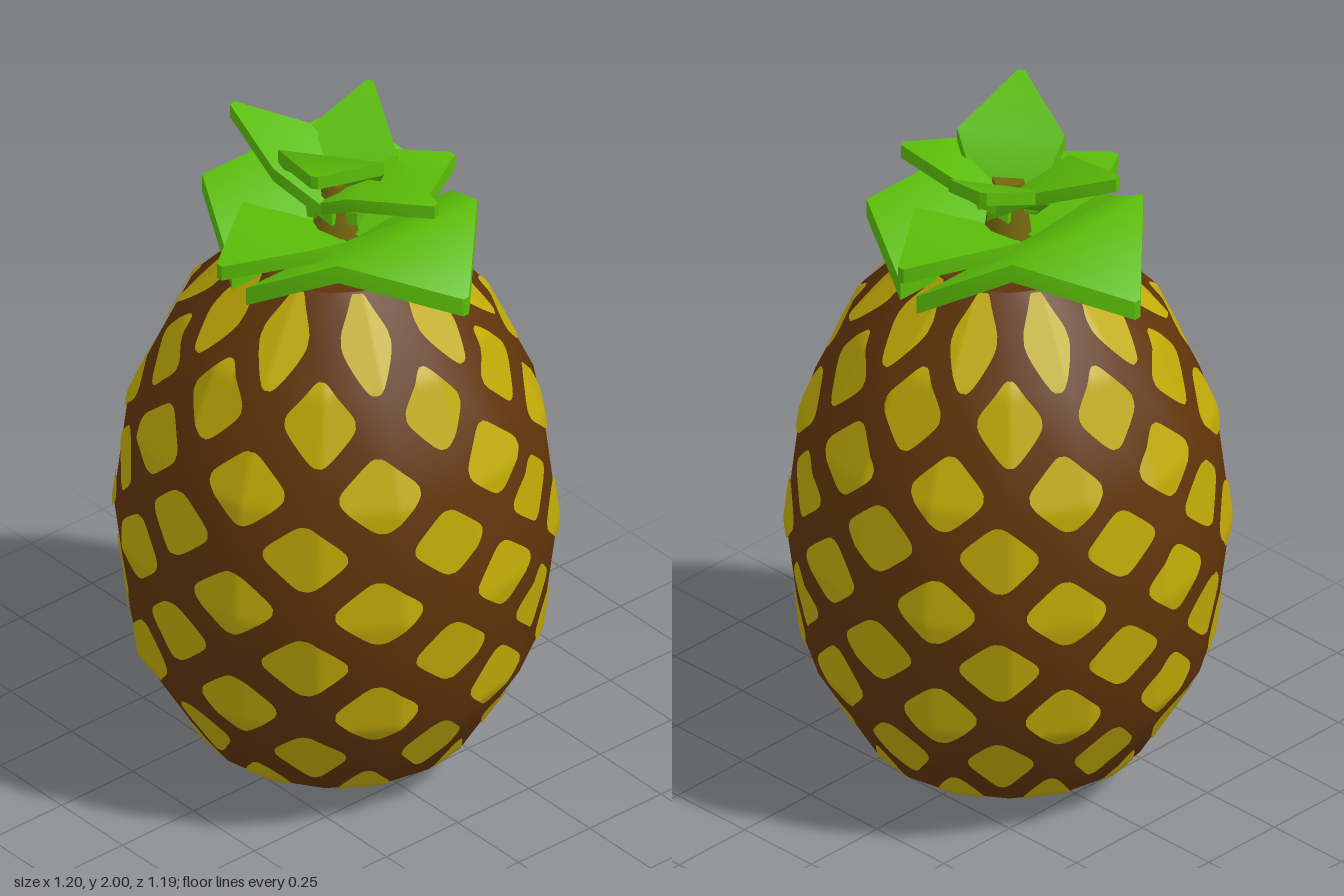
import * as THREE from 'three';
import { mergeGeometries } from 'three/addons/utils/BufferGeometryUtils.js';

const SIDES = 16, RAD = Math.PI / 180;
const PROFILE = [[0.17, 0], [0.38, 0.11], [0.55, 0.4], [0.595, 0.76], [0.555, 1.1], [0.42, 1.4], [0.225, 1.6]];

const material = (name, color) => {
  const m = new THREE.MeshStandardMaterial({ color });
  m.name = name;
  return m;
};

function mesh(name, geometry, mat) {
  const m = new THREE.Mesh(geometry, mat);
  m.name = name;
  return m;
}

// Radius of the sixteen-sided body at a height and an angle from the front
function bodyRadius(theta, y) {
  let i = 0;
  while (i < PROFILE.length - 2 && y > PROFILE[i + 1][1]) i++;
  const [r0, y0] = PROFILE[i], [r1, y1] = PROFILE[i + 1];
  const r = r0 + (r1 - r0) * (y - y0) / (y1 - y0);
  const step = 2 * Math.PI / SIDES;
  const local = ((theta % step) + step) % step - step / 2;
  return r * Math.cos(step / 2) / Math.cos(local);
}

// Diamond with rounded corners lying on the body surface
function scale(theta, y, halfAngle, halfHeight) {
  const g = new THREE.PlaneGeometry(2, 2, 12, 12);
  const p = g.attributes.position;
  for (let i = 0; i < p.count; i++) {
    const a = p.getX(i), b = p.getY(i), k = 1 - 0.15 * (a * b) ** 4;
    const t = theta + (a - b) / 2 * k * halfAngle;
    const h = THREE.MathUtils.clamp(y + (a + b) / 2 * k * halfHeight, 0.004, 1.598);
    const r = bodyRadius(t, h) + 0.006;
    p.setXYZ(i, r * Math.sin(t), h, r * Math.cos(t));
  }
  g.computeVertexNormals();
  return g;
}

// Thick bent leaf along +x, smooth along its length with sharp rims;
// stations are [distance, height, half width, sideways shift]
function leafGeometry(stations, thickness) {
  const rings = stations.map(([d, y, w, s = 0]) => [
    [d, y, s - w], [d, y, s + w], [d, y - thickness, s + w], [d, y - thickness, s - w],
  ]);
  const strip = (rows) => {
    const index = [];
    for (let i = 0; i < rows.length - 1; i++) {
      const k = 2 * i;
      index.push(k, k + 1, k + 3, k, k + 3, k + 2);
    }
    const g = new THREE.BufferGeometry();
    g.setAttribute('position', new THREE.Float32BufferAttribute(rows.flat(2), 3));
    g.setIndex(index);
    g.computeVertexNormals();
    return g;
  };
  const s = rings[0], e = rings[rings.length - 1];
  const faces = [0, 1, 2, 3].map(j => strip(rings.map(r => [r[j], r[(j + 1) % 4]])));
  faces.push(strip([[s[3], s[2]], [s[0], s[1]]]), strip([[e[0], e[1]], [e[3], e[2]]]));
  return mergeGeometries(faces);
}

export function createModel() {
  const brown = material('brown skin', 0x613409);
  const yellow = material('yellow scales', 0xc0aa07);
  const green = material('green leaf', 0x5abc08);
  const olive = material('olive stem', 0x75680e);
  const model = new THREE.Group();
  model.name = 'pineapple';

  // Body with flat ends
  const body = new THREE.Group();
  body.name = 'body';
  body.add(mesh('skin', new THREE.LatheGeometry(PROFILE.map(p => new THREE.Vector2(...p)), SIDES), brown));
  const top = mesh('topCap', new THREE.CircleGeometry(0.225, SIDES), brown);
  top.rotation.x = -Math.PI / 2;
  top.position.y = 1.6;
  const bottom = mesh('bottomCap', new THREE.CircleGeometry(0.17, SIDES), brown);
  bottom.rotation.x = Math.PI / 2;
  body.add(top, bottom);
  model.add(body);

  // Staggered rows of scales: [height, half height, half angle, turn]
  const rows = [
    [0.09, 0.12, 12.5, 0], [0.27, 0.12, 12.5, 0], [0.455, 0.115, 12.5, 0], [0.625, 0.112, 12.5, 0],
    [0.8, 0.112, 12.5, 0], [0.97, 0.112, 12.5, 0], [1.14, 0.115, 12.8, 1.5], [1.325, 0.122, 13, 3], [1.505, 0.13, 13, 3],
  ];
  // Columns are a little wider apart between the front and the left side
  const evenColumns = [21, 61, 100, 135, 170, 205, 240, 275, 310, 344.5];
  const oddColumns = [1.5, 41, 82, 117, 152, 187, 222, 257, 292, 327];
  const scales = rows.flatMap(([y, h, w, turn], r) => (r % 2 ? oddColumns : evenColumns).map(
    angle => scale((angle + turn) * RAD, y, (angle > 10 && angle < 70 ? w * 1.1 : w) * RAD, h)));
  model.add(mesh('scales', mergeGeometries(scales), yellow));

  // Crown: stem, then leaves as [name, turn, stations, thickness]
  const crown = new THREE.Group();
  crown.name = 'crown';
  const stem = mesh('stem', new THREE.CylinderGeometry(0.045, 0.075, 0.24, 6), olive);
  stem.position.y = 1.7;
  crown.add(stem);
  const wide = [[0.04, 1.64, 0.36, -0.01], [0.26, 1.765, 0.245, -0.03], [0.43, 1.615, 0.01, -0.09]];
  const wideLeft = [[0.04, 1.64, 0.36, 0.03], [0.28, 1.79, 0.25, 0.02], [0.455, 1.62, 0.01, -0.03]];
  const small = [[0.02, 1.66, 0.07], [0.2, 1.755, 0.15], [0.41, 1.72, 0.01]];
  const leaves = [
    ['lowerLeftLeaf', 0, wide, 0.055],
    ['lowerRightLeaf', 180, wideLeft, 0.055],
    ['lowerFrontLeaf', -90, small, 0.045],
    ['lowerBackLeaf', 90, small, 0.045],
    ['upperRightLeaf', 194, [[-0.03, 1.75, 0.06], [0.12, 1.87, 0.12], [0.34, 1.93, 0.01]], 0.04],
    ['upperLeftLeaf', 18, [[-0.03, 1.76, 0.06], [0.11, 1.86, 0.12], [0.315, 1.845, 0.01]], 0.04],
    ['upperBackLeaf', 121, [[-0.03, 1.74, 0.07], [0.1, 1.86, 0.14], [0.29, 1.95, 0.01]], 0.04],
    ['topFrontLeaf', -53, [[-0.02, 1.77, 0.08], [0.06, 1.93, 0.145], [0.265, 2, 0.01]], 0.04],
  ];
  for (const [name, turn, stations, thickness] of leaves) {
    const leaf = mesh(name, leafGeometry(stations, thickness), green);
    leaf.rotation.y = turn * RAD;
    crown.add(leaf);
  }
  model.add(crown);
  return model;
}
